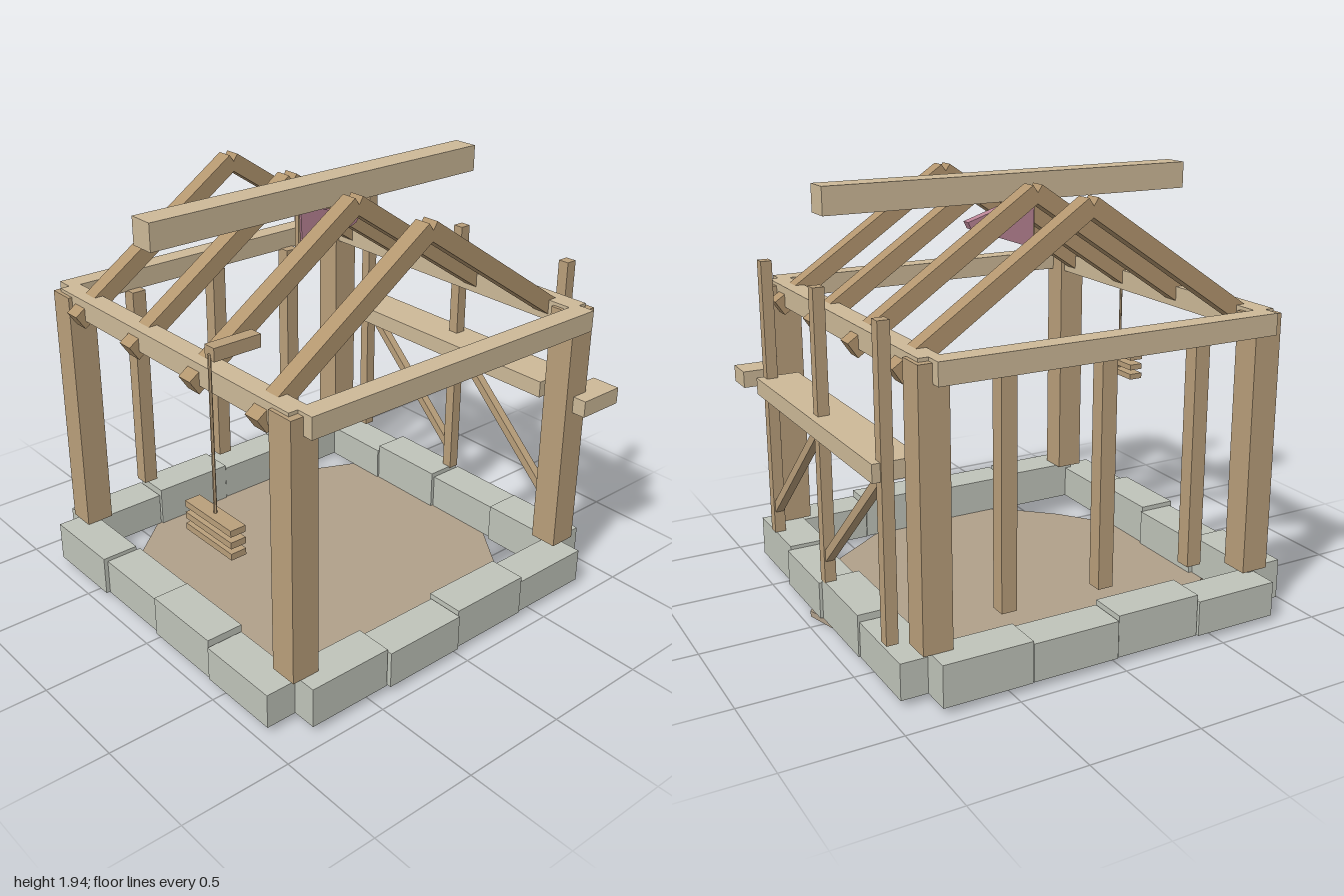
import * as THREE from 'three';

const mat = (color) => new THREE.MeshStandardMaterial({ color, flatShading: true });

export function createModel() {
  const model = new THREE.Group();
  const beamWood = mat(0xcdb998);
  const postWood = mat(0xb99f7b);
  const rafterWood = mat(0xb3966f);
  const stone = mat(0xc0c4ba);
  const dirt = mat(0xb0a08a);
  const cloth = mat(0xbb8596);

  const add = (name, geometry, material) => {
    const mesh = new THREE.Mesh(geometry, material);
    mesh.name = name;
    model.add(mesh);
    return mesh;
  };
  // Box given by its lower and upper limits on each axis
  const block = (name, material, [x0, x1], [y0, y1], [z0, z1]) => {
    const mesh = add(name, new THREE.BoxGeometry(x1 - x0, y1 - y0, z1 - z0), material);
    mesh.position.set((x0 + x1) / 2, (y0 + y1) / 2, (z0 + z1) / 2);
    return mesh;
  };
  const around = (c, size) => [c - size / 2, c + size / 2];
  // Square-ended timber laid between two points
  const timber = (name, material, a, b, width, height) => {
    const from = new THREE.Vector3(...a), to = new THREE.Vector3(...b);
    const mesh = add(name, new THREE.BoxGeometry(width, height, from.distanceTo(to)), material);
    mesh.position.copy(from).add(to).multiplyScalar(0.5);
    mesh.lookAt(to);
    return mesh;
  };
  // Flat outline in x-y, given thickness along z
  const slab = (name, material, points, depth) => {
    const shape = new THREE.Shape(points.map(([x, y]) => new THREE.Vector2(x, y)));
    return add(name, new THREE.ExtrudeGeometry(shape, { depth, bevelEnabled: false }), material);
  };

  // Irregular earth floor (outline in x and z)
  const floorOutline = [
    [-0.875, -0.4], [-0.35, -0.84], [0.25, -0.84], [0.77, -0.605], [0.96, 0.1], [0.63, 0.57],
    [0.36, 0.76], [0, 0.845], [-0.36, 0.765], [-0.6, 0.54], [-0.875, 0.18],
  ];
  const floor = slab('earthFloor', dirt, floorOutline.map(([x, z]) => [x, -z]), 0.027);
  floor.rotation.x = -Math.PI / 2;

  // Ring of foundation stones, four on each side
  const tops = [0.215, 0.2, 0.22, 0.19];
  const shifts = [-0.005, 0.012, 0, -0.006];
  for (let i = 0; i < 4; i++) {
    const along = around(-0.61 + i * 0.407, 0.402);
    const y = [0.03, tops[i]], ySide = [0.03, tops[3 - i]];
    block('frontStone', stone, along, y, around(0.843 + shifts[i], 0.175));
    block('backStone', stone, along, ySide, around(-0.853 + shifts[i] / 2, 0.175));
    block('leftStone', stone, around(0.85 + shifts[3 - i], 0.175), ySide, along);
    block('rightStone', stone, around(-0.86 + shifts[i], 0.175), y, along);
  }

  // Corner posts and the beams joining their tops
  for (const s of [-1, 1]) {
    for (const t of [-1, 1]) {
      block('cornerPost', postWood, around(s * 0.783, 0.13), [0.215, 1.385], around(t * 0.783, 0.13));
    }
    block('crossBeam', beamWood, around(0, 1.575), [1.305, 1.4], around(s * 0.848, 0.093));
    block('sideBeam', beamWood, around(s * 0.783, 0.095), [1.305, 1.4], around(0, 1.63));
  }

  // Back wall studs
  for (const x of [-0.46, -0.003, 0.455]) {
    block('backStud', postWood, around(x, 0.07), [0.3, 1.31], around(-0.79, 0.07));
  }

  // Rafter pairs
  for (const z of [-0.65, -0.217, 0.217, 0.65]) {
    for (const s of [-1, 1]) {
      timber('rafter', rafterWood, [s * 0.855, 1.301, z], [0, 1.877, z], 0.077, 0.078);
    }
  }

  // Ridge timber
  block('ridgeBeam', beamWood, [-0.897, 0.887], [1.818, 1.938], [-0.06, 0.06]);

  // Cloth pennant with its thin staff
  const pennant = slab('pennant', cloth,
    [[-0.112, 1.597], [0.195, 1.703], [0.21, 1.735], [-0.04, 1.815], [-0.12, 1.815]], 0.045);
  pennant.position.z = -0.0225;
  block('pennantStaff', postWood, [-0.126, -0.112], [1.61, 1.83], [-0.012, 0.012]);

  // Side lean-to: thin posts, wide rail, braces and a front shelf
  const leanZ = [0.63, -0.02, -0.675];
  for (const z of leanZ) {
    block('sidePost', postWood, around(0.912, 0.052), [0.215, 1.528], around(z, 0.052));
  }
  block('sideRail', beamWood, [0.77, 0.973], [0.9, 0.978], [-0.692, 0.65]);
  for (let i = 0; i < 2; i++) {
    timber('brace', postWood, [0.912, 0.33, leanZ[i] - 0.01], [0.912, 0.915, leanZ[i + 1] + 0.01], 0.04, 0.04);
  }
  block('frontShelf', beamWood, [0.765, 0.995], [0.9, 0.978], [0.775, 0.915]);

  // Bracket arm with a rope and hanging slats
  block('bracketArm', postWood, [-0.96, -0.745], [1.545, 1.6], [0.49, 0.548]);
  const rope = add('rope', new THREE.CylinderGeometry(0.007, 0.007, 0.8, 6), postWood);
  rope.position.set(-0.963, 1.17, 0.522);
  for (const y of [0.785, 0.835, 0.887]) {
    block('hangingSlat', postWood, [-1, -0.93], around(y, 0.028), [0.37, 0.67]);
  }

  return model;
}
